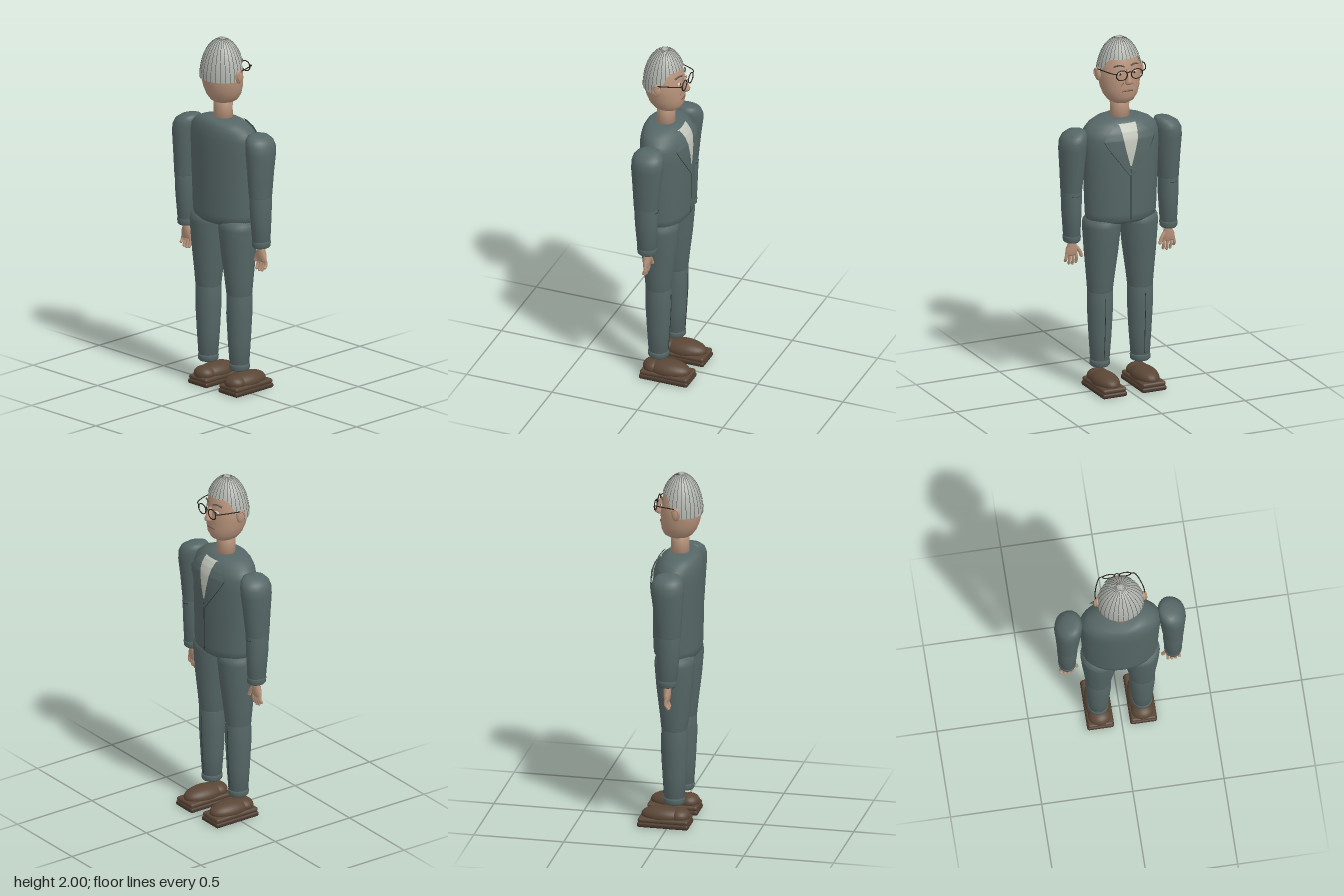
import * as THREE from 'three';
import { RoundedBoxGeometry } from 'three/addons/geometries/RoundedBoxGeometry.js';

const V = (x, y, z) => new THREE.Vector3(x, y, z);

// Closed body from elliptical rings [y, cx, cz, rx, rz]
function loft(rings, n = 36) {
  const rows = [...rings].sort((a, b) => a[0] - b[0]);
  const pos = [], idx = [], m = rows.length;
  for (const [y, cx, cz, rx, rz] of rows)
    for (let i = 0; i < n; i++) {
      const a = (i / n) * Math.PI * 2;
      pos.push(cx + rx * Math.sin(a), y, cz + rz * Math.cos(a));
    }
  for (let j = 0; j < m - 1; j++)
    for (let i = 0; i < n; i++) {
      const k = (i + 1) % n, a = j * n + i, b = j * n + k;
      idx.push(a, b, b + n, a, b + n, a + n);
    }
  const lo = rows[0], hi = rows[m - 1], c = m * n;
  pos.push(lo[1], lo[0], lo[2], hi[1], hi[0], hi[2]);
  for (let i = 0; i < n; i++) {
    const k = (i + 1) % n;
    idx.push(c, k, i, c + 1, (m - 1) * n + i, (m - 1) * n + k);
  }
  return surface(pos, idx);
}

function surface(pos, idx) {
  const g = new THREE.BufferGeometry();
  g.setAttribute('position', new THREE.Float32BufferAttribute(pos, 3));
  g.setIndex(idx);
  g.computeVertexNormals();
  return g;
}

// Open grid of nu x nv cells from a point function
function grid(nu, nv, fn) {
  const pos = [], idx = [];
  for (let j = 0; j <= nv; j++)
    for (let i = 0; i <= nu; i++) pos.push(...fn(i / nu, j / nv));
  for (let j = 0; j < nv; j++)
    for (let i = 0; i < nu; i++) {
      const a = j * (nu + 1) + i, b = a + nu + 1;
      idx.push(a, a + 1, b + 1, a, b + 1, b);
    }
  return surface(pos, idx);
}

const tube = (pts, r, seg = 12, sides = 6) =>
  new THREE.TubeGeometry(new THREE.CatmullRomCurve3(pts), seg, r, sides);

const TORSO = [
  [0.955, 0, 0.025, 0.13, 0.08], [0.965, 0, 0.025, 0.175, 0.11], [0.985, 0, 0.025, 0.202, 0.128],
  [1.02, 0, 0.025, 0.206, 0.131], [1.2, 0, 0.026, 0.213, 0.134], [1.38, 0, 0.027, 0.221, 0.135],
  [1.45, 0, 0.03, 0.221, 0.132], [1.49, 0, 0.035, 0.21, 0.122], [1.52, 0, 0.042, 0.178, 0.108],
  [1.54, 0, 0.048, 0.132, 0.09], [1.55, 0, 0.05, 0.085, 0.07]];

// Depth of the torso's chest side at (x, y)
function chest(x, y) {
  let i = 0;
  while (i < TORSO.length - 2 && TORSO[i + 1][0] < y) i++;
  const a = TORSO[i], b = TORSO[i + 1];
  const t = THREE.MathUtils.clamp((y - a[0]) / (b[0] - a[0]), 0, 1);
  const [cz, rx, rz] = [2, 3, 4].map(k => a[k] + (b[k] - a[k]) * t);
  return cz - rz * Math.sqrt(Math.max(0, 1 - (x / rx) ** 2));
}

// Thin cloth panel on the chest, rows [y, x0, x1]
function panel(rows, off, flare = 0) {
  return grid(8, 24, (u, v) => {
    const f = v * (rows.length - 1), i = Math.min(Math.floor(f), rows.length - 2), t = f - i;
    const [y, x0, x1] = rows[i].map((p, k) => p + (rows[i + 1][k] - p) * t);
    const x = x0 + (x1 - x0) * u;
    return [x, y, chest(x, y) - off - flare * Math.abs(x)];
  });
}

export function createModel() {
  const root = new THREE.Group();
  const mat = (name, color, side = THREE.FrontSide) => {
    const m = new THREE.MeshStandardMaterial({ color, side });
    m.name = name;
    return m;
  };
  const suit = mat('suit', 0x566666, THREE.DoubleSide), seam = mat('seam', 0x2c3535);
  const skin = mat('skin', 0xb8947c), lip = mat('lips', 0x80584a);
  const hair = mat('hair', 0xb0b4ae, THREE.DoubleSide), strand = mat('strands', 0x555650);
  const shirt = mat('shirt', 0xc2c6ba, THREE.DoubleSide);
  const shoe = mat('shoe leather', 0x5a4636), sole = mat('shoe sole', 0x4a392d);
  const frame = mat('glasses frame', 0x2a1e18);
  const add = (name, geo, m, p) => {
    const o = new THREE.Mesh(geo, m);
    o.name = name;
    if (p) o.position.set(...p);
    root.add(o);
    return o;
  };
  const ball = (name, m, p, r) => add(name, new THREE.SphereGeometry(1, 28, 18), m, p).scale.set(...r);

  // Jacket, shirt and front seam
  add('torso', loft(TORSO, 56), suit);
  add('shirtFront', panel([[1.53, -0.055, 0.055], [1.47, -0.05, 0.05], [1.3, -0.004, 0.004]], 0.006), shirt);
  add('frontSeam', panel([[1.28, -0.003, 0.003], [0.99, -0.003, 0.003]], 0.004), seam).material.side = THREE.DoubleSide;
  for (const s of [-1, 1]) {
    const rows = [[1.53, 0.05, 0.075], [1.45, 0.042, 0.15], [1.42, 0.036, 0.135], [1.25, 0, 0.012]];
    add('lapel', panel(rows.map(([y, a, b]) => [y, s * a, s * b]), 0.009, 0.07), suit);
    add('lapelEdge', tube(rows.slice(1).map(([y, , b]) => V(s * b, y, chest(b, y) - 0.009 - 0.07 * b)), 0.0015), seam);
  }

  // Neck and head
  add('neck', loft([[1.53, 0, 0.035, 0.055, 0.052], [1.6, 0, 0.035, 0.053, 0.05], [1.67, 0, 0.035, 0.055, 0.052]]), skin);
  const head = [[1.632, 0, 0.025, 0.03, 0.035], [1.637, 0, 0.025, 0.052, 0.058], [1.65, 0, 0.026, 0.073, 0.078],
    [1.68, 0, 0.03, 0.094, 0.096], [1.72, 0, 0.036, 0.108, 0.106]];
  for (let i = 0; i < 10; i++) {
    const a = i * 0.165;
    head.push([1.775 + 0.208 * Math.sin(a), 0, 0.043, 0.118 * Math.cos(a), 0.112 * Math.cos(a)]);
  }
  add('head', loft(head, 44), skin);

  // Hair cap, its rim rising over the forehead
  const dome = (a, p, k = 1) => [0.128 * k * Math.cos(p) * Math.sin(a), 1.775 + 0.221 * k * Math.sin(p),
    0.043 + 0.118 * k * Math.cos(p) * Math.cos(a)];
  const rim = a => 0.57 * THREE.MathUtils.smoothstep(-Math.cos(a), -0.05, 0.7);
  add('hairCap', grid(64, 18, (u, v) => {
    const a = u * Math.PI * 2, r = rim(a);
    return dome(a, r + (Math.PI / 2 - r) * v);
  }), hair);
  for (let i = 0; i < 28; i++) {
    const a = (i / 28) * Math.PI * 2, pts = [];
    for (let j = 0; j <= 8; j++) pts.push(V(...dome(a, rim(a) + (1.43 - rim(a)) * j / 8)));
    add('hairStrand', tube(pts, 0.0014, 16, 5), strand);
  }
  const crown = add('hairCrown', new THREE.TorusGeometry(0.018, 0.004, 8, 24), hair, [0, 1.996, 0.043]);
  crown.rotation.x = Math.PI / 2;
  crown.scale.y = 0.7;

  // Nose and mouth
  add('nose', loft([[1.757, 0, -0.078, 0.012, 0.012], [1.766, 0, -0.082, 0.021, 0.021], [1.778, 0, -0.082, 0.02, 0.024],
    [1.8, 0, -0.077, 0.012, 0.019], [1.84, 0, -0.068, 0.009, 0.012]], 20), skin);
  add('mouth', tube([V(-0.032, 1.715, -0.061), V(0, 1.72, -0.071), V(0.032, 1.715, -0.061)], 0.005), lip);
  add('glassesBridge', tube([V(-0.012, 1.83, -0.092), V(0, 1.836, -0.095), V(0.012, 1.83, -0.092)], 0.003), frame);

  for (const s of [-1, 1]) {
    const sided = rings => rings.map(([y, cx, ...rest]) => [y, cx * s, ...rest]);
    const path = (pts, r, seg) => tube(pts.map(([x, y, z]) => V(x * s, y, z)), r, seg);

    // Eyes, brows, cheek folds, ears and glasses
    ball('eye', shirt, [s * 0.042, 1.818, -0.057], [0.017, 0.009, 0.008]);
    ball('iris', frame, [s * 0.042, 1.818, -0.064], [0.006, 0.007, 0.003]);
    add('eyebrow', path([[0.018, 1.858, -0.065], [0.045, 1.866, -0.059], [0.072, 1.856, -0.043]], 0.0045), strand);
    add('cheekFold', path([[0.024, 1.766, -0.067], [0.038, 1.745, -0.061], [0.042, 1.722, -0.055]], 0.002), lip);
    ball('ear', skin, [s * 0.127, 1.802, 0.04], [0.015, 0.038, 0.024]);
    add('earRim', path([[0.134, 1.775, 0.038], [0.14, 1.8, 0.058], [0.14, 1.832, 0.045], [0.134, 1.825, 0.022]], 0.005), skin);
    add('glassesRim', new THREE.TorusGeometry(0.033, 0.0032, 8, 32), frame, [s * 0.045, 1.818, -0.091]).scale.y = 0.85;
    add('glassesTemple', path([[0.077, 1.828, -0.09], [0.096, 1.833, -0.085], [0.118, 1.836, -0.045],
      [0.134, 1.836, 0.01], [0.134, 1.83, 0.045]], 0.003, 24), frame);

    // Sleeves
    add('upperArm', loft(sided([[1.503, 0.25, 0.028, 0.025, 0.035], [1.496, 0.262, 0.028, 0.048, 0.062],
      [1.475, 0.274, 0.028, 0.067, 0.082], [1.445, 0.283, 0.028, 0.074, 0.09], [1.4, 0.286, 0.029, 0.074, 0.09],
      [1.3, 0.287, 0.032, 0.067, 0.08], [1.16, 0.29, 0.035, 0.057, 0.068], [1.148, 0.29, 0.035, 0.05, 0.06]])), suit);
    add('forearm', loft(sided([[1.17, 0.29, 0.034, 0.048, 0.058], [1.155, 0.29, 0.034, 0.056, 0.067],
      [1.05, 0.29, 0.033, 0.054, 0.063], [0.89, 0.29, 0.029, 0.045, 0.052]])), suit);
    add('cuff', loft(sided([[0.908, 0.29, 0.029, 0.045, 0.052], [0.9, 0.29, 0.029, 0.049, 0.055],
      [0.876, 0.29, 0.029, 0.047, 0.053], [0.868, 0.29, 0.029, 0.04, 0.046]])), suit);
    add('elbowCrease', path([[0.265, 1.14, -0.026], [0.29, 1.136, -0.032], [0.315, 1.14, -0.026]], 0.0025), seam);

    // Hand with fingers and thumb
    add('palm', loft(sided([[0.885, 0.29, 0.029, 0.024, 0.023], [0.85, 0.289, 0.029, 0.025, 0.021],
      [0.825, 0.29, 0.029, 0.036, 0.02], [0.795, 0.293, 0.029, 0.035, 0.016], [0.787, 0.293, 0.029, 0.028, 0.01]], 24)), skin);
    for (let f = 0; f < 4; f++) {
      const x = 0.268 + f * 0.017, end = 0.738 + [0.006, 0, 0.004, 0.02][f], tip = x + (f - 1.5) * 0.004;
      add('finger', path([[x, 0.808, 0.029], [tip, 0.772, 0.027], [tip, end, 0.036]], 0.0085), skin);
      ball('fingertip', skin, [s * tip, end, 0.036], [0.0085, 0.0085, 0.0085]);
    }
    add('thumb', path([[0.272, 0.842, 0.027], [0.25, 0.815, 0.022], [0.236, 0.782, 0.02]], 0.01), skin);
    ball('thumbTip', skin, [s * 0.236, 0.782, 0.02], [0.01, 0.01, 0.01]);

    // Trousers
    add('thigh', loft(sided([[0.995, 0.108, 0.03, 0.085, 0.09], [0.97, 0.11, 0.03, 0.103, 0.107],
      [0.94, 0.111, 0.03, 0.106, 0.111], [0.8, 0.114, 0.03, 0.094, 0.099], [0.65, 0.118, 0.03, 0.078, 0.08],
      [0.565, 0.12, 0.03, 0.07, 0.071], [0.553, 0.12, 0.03, 0.062, 0.063]])), suit);
    add('shin', loft(sided([[0.575, 0.12, 0.03, 0.06, 0.062], [0.558, 0.12, 0.03, 0.07, 0.071],
      [0.45, 0.12, 0.03, 0.07, 0.072], [0.3, 0.12, 0.03, 0.062, 0.064], [0.15, 0.121, 0.03, 0.051, 0.054]])), suit);
    add('trouserHem', loft(sided([[0.17, 0.121, 0.03, 0.052, 0.055], [0.16, 0.121, 0.03, 0.056, 0.058],
      [0.14, 0.121, 0.03, 0.055, 0.057], [0.132, 0.121, 0.03, 0.048, 0.05]])), suit);
    add('trouserCrease', path([[0.12, 0.53, -0.0415], [0.12, 0.45, -0.0425], [0.12, 0.3, -0.0345], [0.121, 0.18, -0.0265]], 0.002, 16), seam);

    // Shoe on a two-layer sole
    add('sole', new RoundedBoxGeometry(0.148, 0.028, 0.285, 3, 0.012), sole, [s * 0.118, 0.014, -0.022]);
    add('welt', new RoundedBoxGeometry(0.14, 0.026, 0.278, 3, 0.012), shoe, [s * 0.118, 0.039, -0.022]);
    ball('shoeUpper', shoe, [s * 0.118, 0.06, -0.028], [0.07, 0.05, 0.125]);
    ball('shoeHeel', shoe, [s * 0.118, 0.062, 0.06], [0.062, 0.042, 0.058]);
  }
  return root;
}
